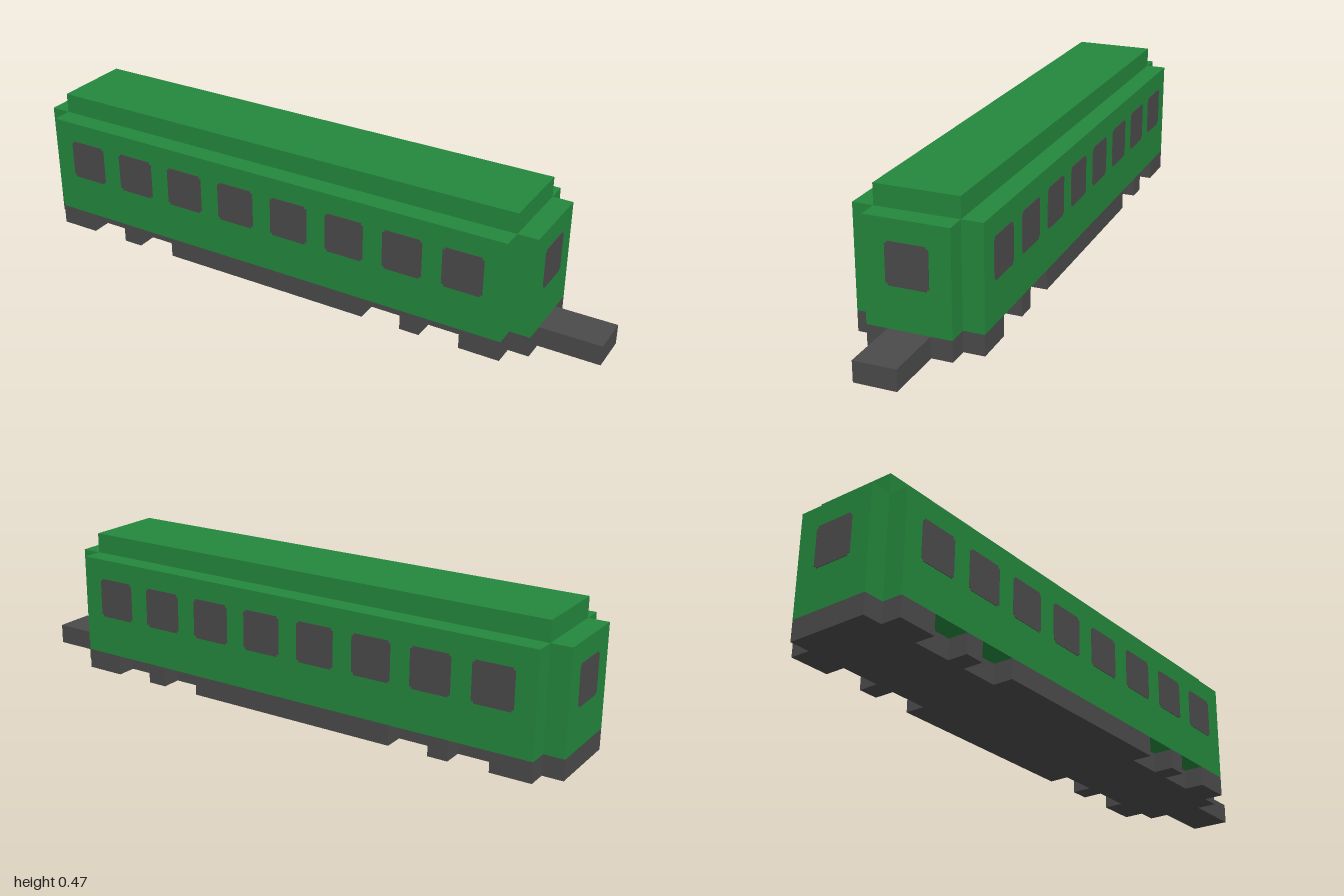
import * as THREE from 'three';

const U = 1 / 15; // block unit; all sizes below are in these units

export function createModel() {
  const model = new THREE.Group();
  model.name = 'railCarriage';
  const green = new THREE.MeshStandardMaterial({ color: 0x24883d });
  green.name = 'carriage green';
  const grey = new THREE.MeshStandardMaterial({ color: 0x4b4b4b });
  grey.name = 'dark grey';

  // Box from min and max corners
  const box = (name, mat, x0, x1, y0, y1, z0, z1) => {
    const geo = new THREE.BoxGeometry((x1 - x0) * U, (y1 - y0) * U, (z1 - z0) * U);
    const mesh = new THREE.Mesh(geo, mat);
    mesh.position.set((x0 + x1) * U / 2, (y0 + y1) * U / 2, (z0 + z1) * U / 2);
    mesh.name = name;
    model.add(mesh);
  };

  // Green bodywork
  box('body', green, -14, 11, 1, 6, -3, 3);
  box('rearVestibule', green, -15, -14, 1, 6, -2, 2);
  box('frontVestibule', green, 11, 12, 1, 6, -2, 2);
  box('roof', green, -14, 11, 6, 7, -2, 2);

  // Underframe and coupler
  box('underframe', grey, -15, 12, 0, 1, -2, 2);
  box('coupler', grey, 12, 15, 0, 1, -1, 1);

  // Side skirts, with gaps between them, mirrored
  const skirts = [[-14, -12], [-10, -9], [-7, 4], [6, 7], [9, 11]];
  for (const [a, b] of skirts) {
    box('leftSkirt', grey, a, b, 0, 1, 2, 3);
    box('rightSkirt', grey, a, b, 0, 1, -3, -2);
  }

  // Window panes: squares with small stepped corners
  const h = U, k = U * 0.89;
  const pane = new THREE.Shape([
    [-k, -h], [k, -h], [k, -k], [h, -k], [h, k], [k, k],
    [k, h], [-k, h], [-k, k], [-h, k], [-h, -k], [-k, -k],
  ].map(([x, y]) => new THREE.Vector2(x, y)));
  const paneGeo = new THREE.ExtrudeGeometry(pane, { depth: 0.002, bevelEnabled: false });
  const addWindow = (name, x, z, turn) => {
    const mesh = new THREE.Mesh(paneGeo, grey);
    mesh.position.set(x * U, 4 * U, z * U);
    mesh.rotation.y = turn;
    mesh.name = name;
    model.add(mesh);
  };
  for (let i = 0; i < 8; i++) {
    addWindow('sideWindow', -12 + 3 * i, 3, 0);
    addWindow('sideWindow', -12 + 3 * i, -3, Math.PI);
  }
  addWindow('endWindow', 12, 0, Math.PI / 2);
  addWindow('endWindow', -15, 0, -Math.PI / 2);

  return model;
}
